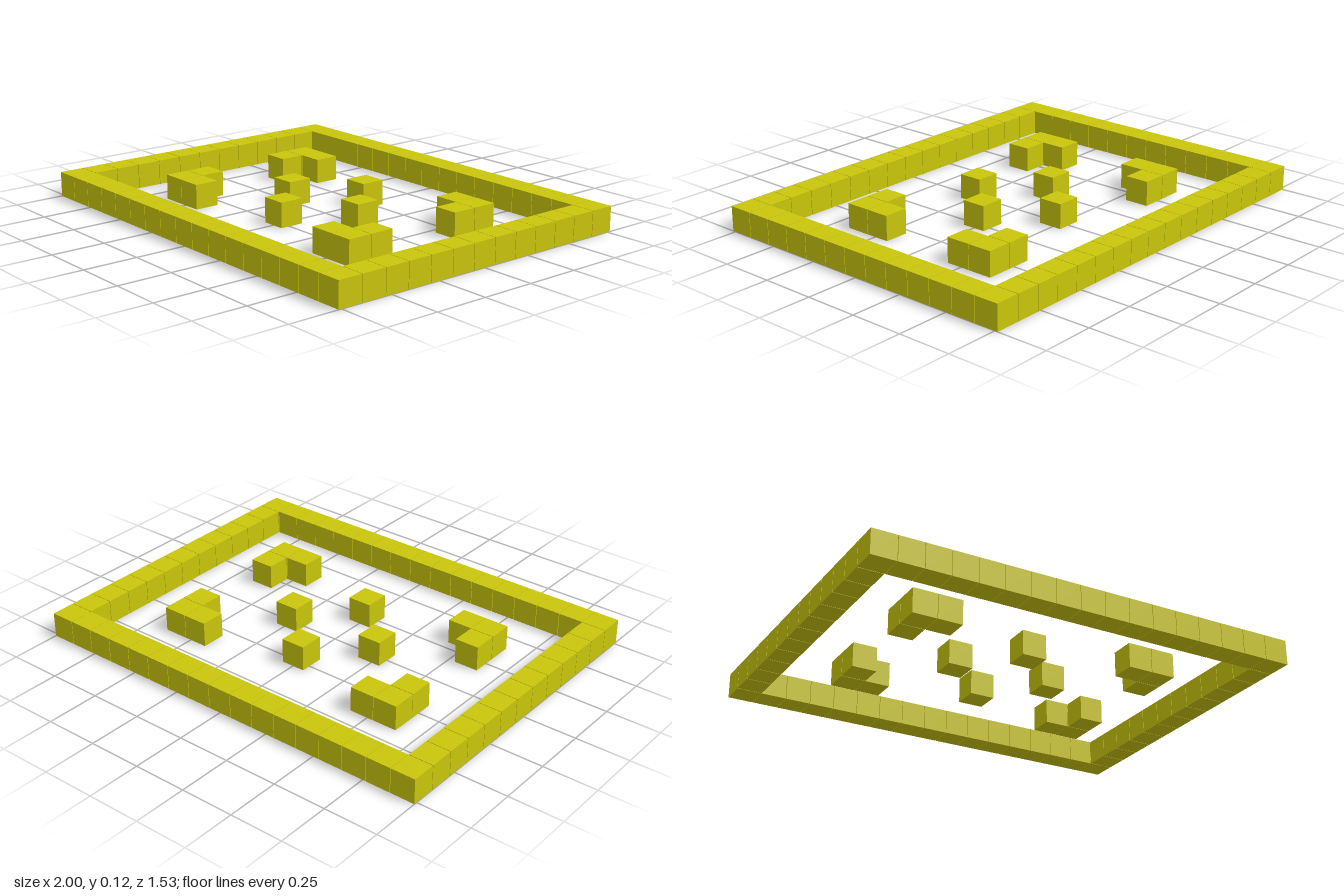
import * as THREE from 'three';

export function createModel() {
  const model = new THREE.Group();
  model.name = 'blockCourtyard';

  const yellow = new THREE.MeshStandardMaterial({ color: 0xcac60c });
  yellow.name = 'yellow';

  // Cubes sit on a 17 x 13 grid with a hairline gap between neighbours
  const pitch = 2 / 16.98;
  const size = pitch * 0.98;
  const cube = new THREE.BoxGeometry(size, size, size);

  function addGroup(name, cells) {
    const group = new THREE.Group();
    group.name = name;
    for (const [column, row] of cells) {
      const block = new THREE.Mesh(cube, yellow);
      block.name = name + 'Block';
      block.position.set(column * pitch, size / 2, row * pitch);
      group.add(block);
    }
    model.add(group);
  }

  // Perimeter walls; front and back own the corner blocks
  const run = (n, place) => Array.from({ length: 2 * n + 1 }, (_, i) => place(i - n));
  addGroup('frontWall', run(8, (i) => [i, 6]));
  addGroup('backWall', run(8, (i) => [i, -6]));
  addGroup('leftWall', run(5, (i) => [8, i]));
  addGroup('rightWall', run(5, (i) => [-8, i]));

  // L-shaped inner corners, mirrored into each quadrant
  for (const [sx, xName] of [[1, 'Left'], [-1, 'Right']]) {
    for (const [sz, zName] of [[1, 'front'], [-1, 'back']]) {
      addGroup(zName + xName + 'Corner', [[5 * sx, 3 * sz], [4 * sx, 3 * sz], [5 * sx, 2 * sz]]);
    }
  }

  // Four single blocks around the middle
  addGroup('centrePillar', [[2, 0], [-2, 0], [0, 2], [0, -2]]);

  return model;
}
